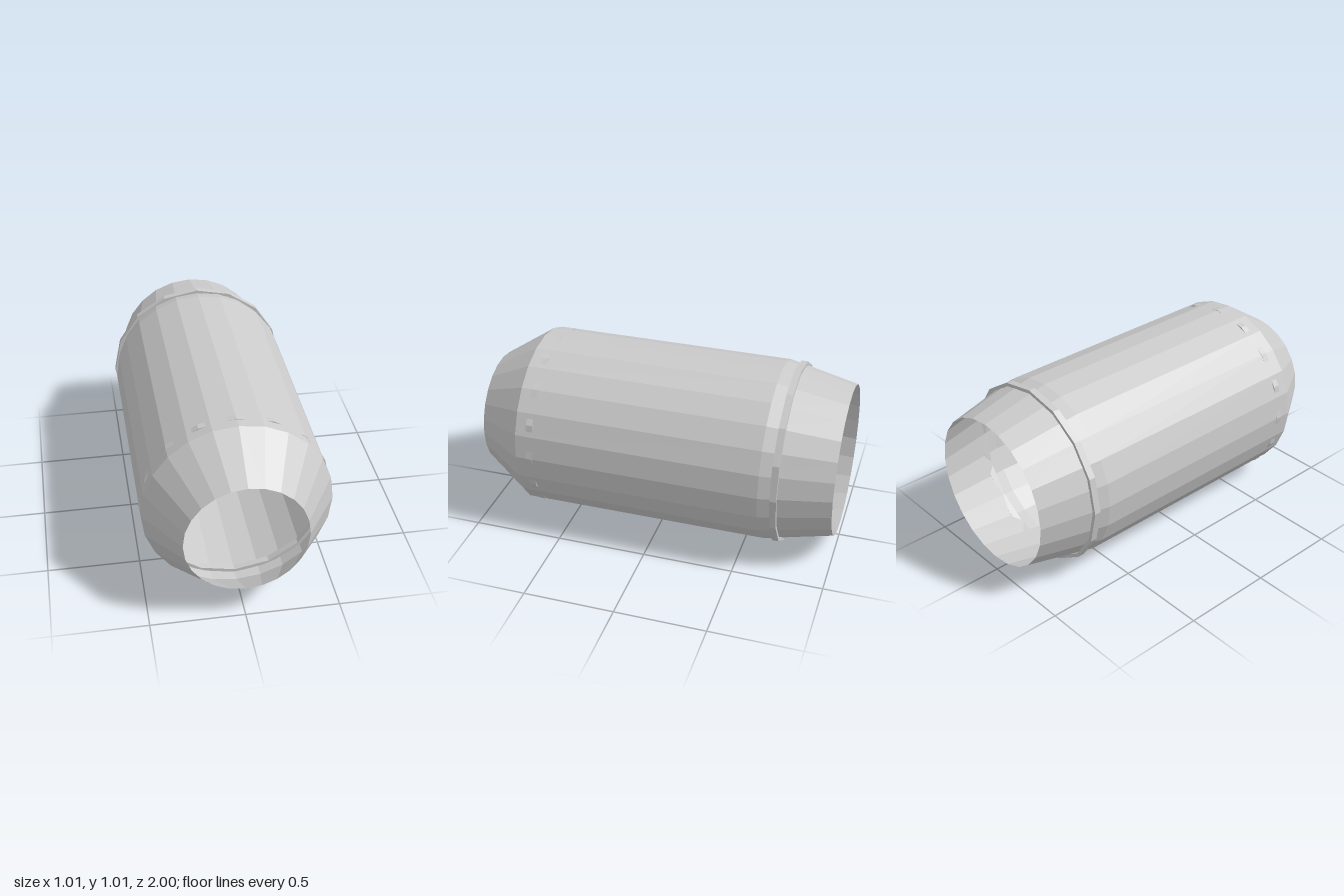
import * as THREE from 'three';

export function createModel() {
  const group = new THREE.Group();
  const metal = new THREE.MeshStandardMaterial({
    color: 0xcacaca, flatShading: true, side: THREE.DoubleSide,
  });
  metal.name = 'light grey metal';
  const centreY = 0.503;

  // Revolves [radius, z] pairs about the front-to-back axis
  function revolve(name, profile, sides) {
    const points = profile.map(([r, z]) => new THREE.Vector2(r, z));
    const geometry = new THREE.LatheGeometry(points, sides);
    geometry.rotateX(Math.PI / 2);
    const mesh = new THREE.Mesh(geometry, metal);
    mesh.name = name;
    mesh.position.y = centreY;
    group.add(mesh);
  }

  // Open-ended casing: tapered tail, straight barrel, steep front cone
  revolve('tailCone', [[0.417, -1], [0.5, -0.62]], 24);
  revolve('barrel', [[0.5, -0.62], [0.5, 0.73]], 24);
  revolve('frontCone', [[0.5, 0.73], [0.321, 1]], 24);

  // Coarser square-section rings, partly sunk into the casing
  const outer = 0.503, inner = 0.484, half = 0.018;
  for (const [name, z] of [['rearRing', -0.703], ['frontRing', 0.652]]) {
    revolve(name, [
      [inner, z - half], [outer, z - half], [outer, z + half],
      [inner, z + half], [inner, z - half],
    ], 16);
  }
  return group;
}
